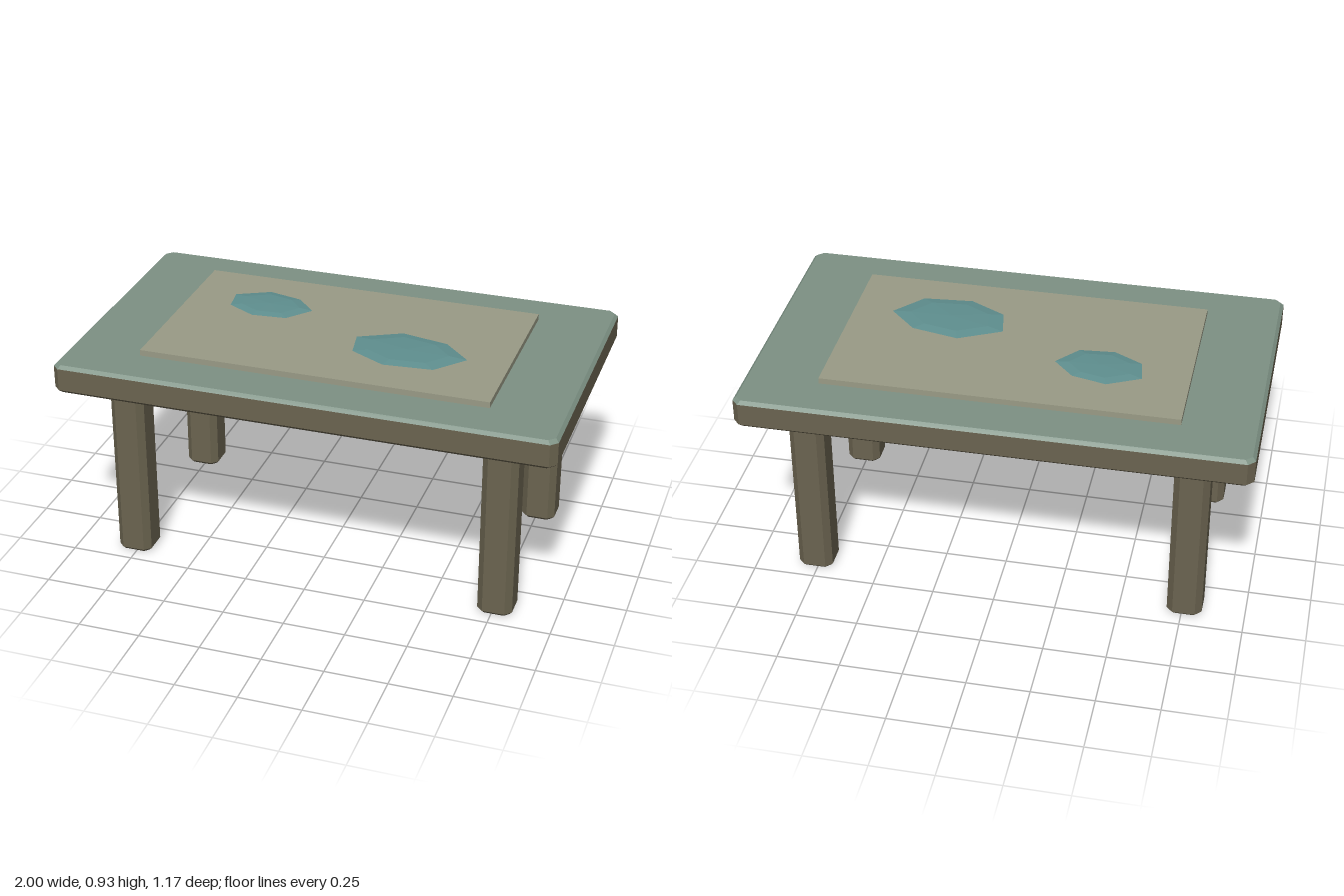
import * as THREE from 'three';

const material = (color) => new THREE.MeshStandardMaterial({ color, flatShading: true });

// Joins rings of [x, y, z] corners (listed from +x towards +z, bottom to top)
function loft(rings, capBottom = true, capTop = true) {
  const pos = [];
  const tri = (...corners) => corners.forEach((p) => pos.push(...p));
  const n = rings[0].length;
  const last = rings[rings.length - 1];
  for (let i = 0; i < n; i++) {
    const j = (i + 1) % n;
    for (let k = 0; k + 1 < rings.length; k++) {
      const lo = rings[k], hi = rings[k + 1];
      tri(lo[i], hi[i], lo[j]);
      tri(lo[j], hi[i], hi[j]);
    }
    if (i > 0 && j > 0) {
      if (capBottom) tri(rings[0][0], rings[0][i], rings[0][j]);
      if (capTop) tri(last[0], last[j], last[i]);
    }
  }
  const geometry = new THREE.BufferGeometry();
  geometry.setAttribute('position', new THREE.Float32BufferAttribute(pos, 3));
  geometry.computeVertexNormals();
  return geometry;
}

// Rectangle with cut corners at height y
function cutRect(hx, hz, cut, y) {
  const a = hx - cut, b = hz - cut;
  return [[hx, -b], [hx, b], [a, hz], [-a, hz], [-hx, b], [-hx, -b], [-a, -hz], [a, -hz]]
    .map(([x, z]) => [x, y, z]);
}

// Thin faceted pebble grown from its widest outline
function pebble(outline, y, halfHeight) {
  const cx = outline.reduce((s, p) => s + p[0], 0) / outline.length;
  const cz = outline.reduce((s, p) => s + p[1], 0) / outline.length;
  const rings = [-90, -45, 0, 45, 90].map((deg) => {
    const t = THREE.MathUtils.degToRad(deg);
    const r = Math.max(Math.cos(t), 0.002);
    return outline.map(([x, z]) => [cx + (x - cx) * r, y + halfHeight * Math.sin(t), cz + (z - cz) * r]);
  });
  return loft(rings);
}

export function createModel() {
  const group = new THREE.Group();
  const wood = material(0x6b6450);
  const green = material(0x7d9184);
  const cloth = material(0x9a9b86);
  const blue = material(0x5f8f8f);
  const add = (name, geometry, mat) => {
    const mesh = new THREE.Mesh(geometry, mat);
    mesh.name = name;
    group.add(mesh);
    return mesh;
  };

  // Table slab with chamfered edges, and its painted top
  add('tableSlab', loft([
    cutRect(0.987, 0.572, 0.024, 0.768),
    cutRect(1, 0.585, 0.027, 0.781),
    cutRect(1, 0.585, 0.027, 0.872),
  ], true, false), wood);
  add('tableTop', loft([
    cutRect(1, 0.585, 0.027, 0.872),
    cutRect(0.987, 0.572, 0.024, 0.885),
  ], false, true), green);

  // Four chamfered legs
  const leg = loft([
    cutRect(0.058, 0.058, 0.018, 0),
    cutRect(0.07, 0.07, 0.025, 0.013),
    cutRect(0.07, 0.07, 0.025, 0.756),
    cutRect(0.058, 0.058, 0.018, 0.769),
  ]);
  for (const [side, x] of [['Left', 0.76], ['Right', -0.76]]) {
    for (const [end, z] of [['front', 0.377], ['back', -0.377]]) {
      add(`${end}${side}Leg`, leg, wood).position.set(x, 0, z);
    }
  }

  // Raised mat
  add('mat', new THREE.BoxGeometry(1.406, 0.025, 0.8), cloth).position.y = 0.8965;

  // Two flat pebbles on the mat
  add('largePebble', pebble([
    [0.54, 0.115], [0.437, 0.235], [0.24, 0.252], [0.095, 0.175],
    [0.073, 0.05], [0.24, -0.035], [0.43, 0.005],
  ], 0.922, 0.009), blue);
  add('smallPebble', pebble([
    [-0.17, -0.12], [-0.25, -0.022], [-0.39, -0.01], [-0.505, -0.072],
    [-0.52, -0.175], [-0.39, -0.24], [-0.252, -0.207],
  ], 0.922, 0.008), blue);

  return group;
}
